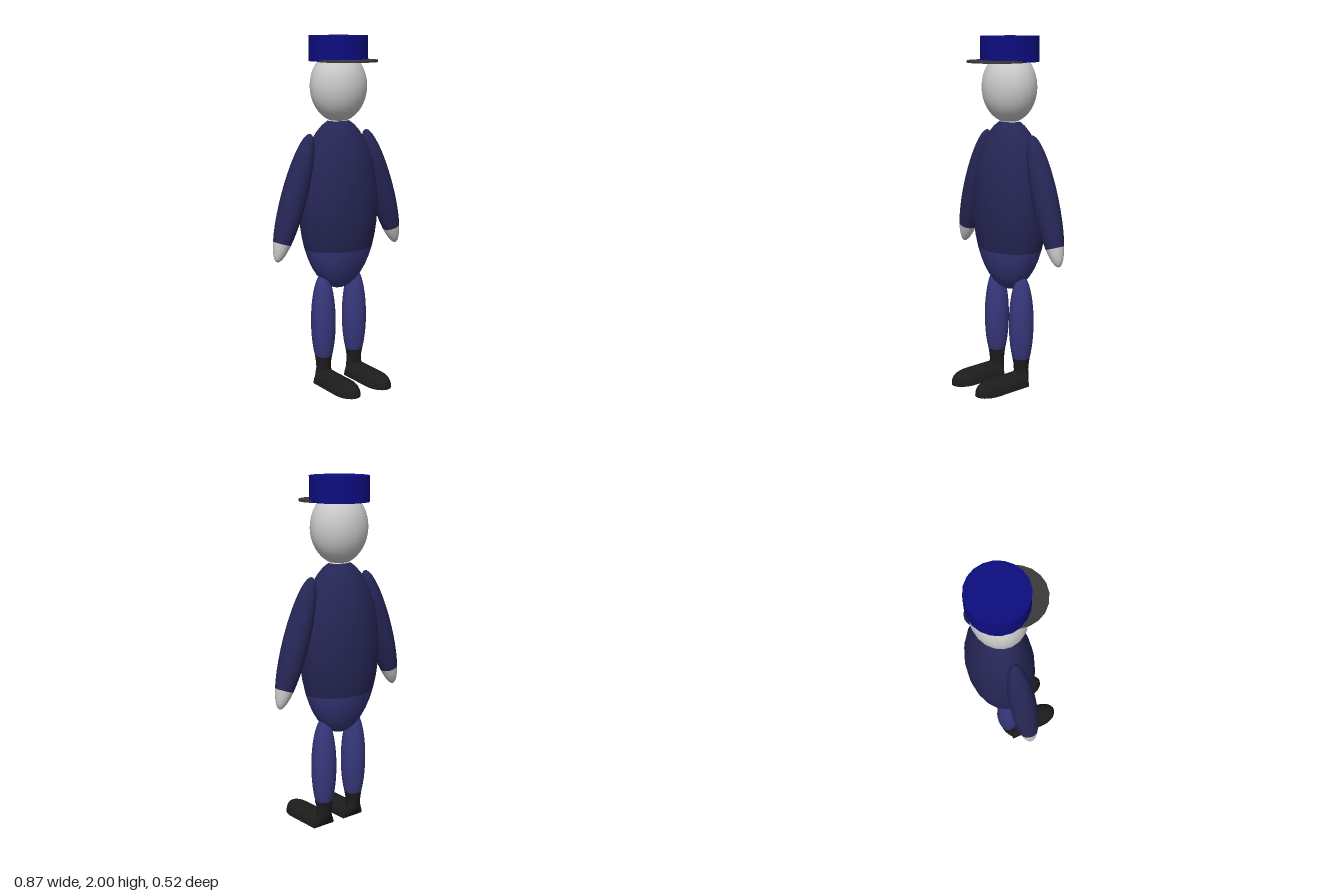
import * as THREE from 'three';
import { toCreasedNormals } from 'three/addons/utils/BufferGeometryUtils.js';

const AXIS_Z = -0.07; // depth of the standing figure's axis
const SEGMENTS = 20;

const mat = (color) => new THREE.MeshStandardMaterial({ color, side: THREE.DoubleSide });
const SKIN = mat(0xcccccc);
const JACKET = mat(0x262656);
const TROUSERS = mat(0x37377c);
const LEATHER = mat(0x1c1c1c);
const CAP = mat(0x0d0d80);
const BRIM = mat(0x3a3a3a);

function part(name, geometry, material, x = 0, y = 0, z = 0) {
  const mesh = new THREE.Mesh(geometry, material);
  mesh.name = name;
  mesh.position.set(x, y, z);
  return mesh;
}

// Band of an ellipsoid between two polar angles (fractions of a half turn, 0 = top)
function ellipsoid(rx, ry, rz, from = 0, to = 1) {
  const rows = Math.max(4, Math.round(20 * (to - from)));
  return new THREE.SphereGeometry(1, SEGMENTS, rows, 0, Math.PI * 2,
    Math.PI * from, Math.PI * (to - from)).scale(rx, ry, rz);
}

// Skin closed rings of equal point count into one surface
function loft(rings) {
  const n = rings[0].length;
  const index = [];
  for (let i = 0; i < rings.length - 1; i++) {
    for (let k = 0; k < n; k++) {
      const a = i * n + k, b = i * n + (k + 1) % n;
      index.push(a, b, b + n, a, b + n, a + n);
    }
  }
  const geometry = new THREE.BufferGeometry();
  geometry.setAttribute('position', new THREE.Float32BufferAttribute(rings.flat(2), 3));
  geometry.setIndex(index);
  return toCreasedNormals(geometry, Math.PI / 4);
}

// Ankle narrowing downward, then flaring into a flat heel edge
function ankleGeometry() {
  // y, half width, back z, front z (z relative to the leg axis)
  const levels = [
    [0.16, 0.051, -0.051, 0.051], [0.12, 0.044, -0.046, 0.044],
    [0.085, 0.043, -0.042, 0.042], [0.06, 0.052, -0.038, 0.04],
    [0.035, 0.062, -0.028, 0.04], [0.015, 0.068, -0.015, 0.04],
    [0, 0.07, 0, 0.04], [0, 0.001, 0.02, 0.021],
  ];
  return loft(levels.map(([y, w, back, front]) =>
    Array.from({ length: SEGMENTS }, (_, k) => {
      const a = (k / SEGMENTS) * Math.PI * 2;
      return [w * Math.cos(a), y, (back + front) / 2 + ((front - back) / 2) * Math.sin(a)];
    })));
}

// Flat-soled shoe: half-round section running forward to a rounded toe
function shoeGeometry() {
  const ring = (z, w, h) => Array.from({ length: 15 }, (_, k) => {
    const a = (k / 14) * Math.PI;
    return [w * Math.cos(a), h * Math.sin(a), z];
  });
  const rings = [ring(0, 0.001, 0.001), ring(0, 0.072, 0.08)];
  for (let i = 0; i <= 8; i++) {
    const t = (i / 8) * Math.PI * 0.497;
    rings.push(ring(0.22 + 0.11 * Math.sin(t), 0.072 * Math.cos(t), 0.08 * Math.cos(t) ** 0.6));
  }
  return loft(rings);
}

function createArm(side) {
  const arm = new THREE.Group();
  arm.name = side > 0 ? 'leftArm' : 'rightArm';
  arm.add(
    part('sleeve', ellipsoid(0.072, 0.368, 0.074, 0, 0.75), JACKET),
    part('hand', ellipsoid(0.072, 0.368, 0.074, 0.75, 1), SKIN),
  );
  arm.position.set(side * 0.304, 1.117, AXIS_Z);
  arm.rotation.z = side * 0.314;
  return arm;
}

function createLeg(side) {
  const leg = new THREE.Group();
  leg.name = side > 0 ? 'leftLeg' : 'rightLeg';
  leg.add(
    part('trouserLeg', ellipsoid(0.072, 0.292, 0.072, 0, 0.75), TROUSERS, 0, 0.366, 0),
    part('ankle', ankleGeometry(), LEATHER),
    part('shoe', shoeGeometry(), LEATHER),
  );
  leg.position.set(side * 0.11, 0, AXIS_Z);
  return leg;
}

export function createModel() {
  const figure = new THREE.Group();
  figure.name = 'figure';

  // Torso: one ellipsoid split into neck, jacket and trouser seat
  const torso = new THREE.Group();
  torso.name = 'torso';
  torso.position.set(0, 1.051, AXIS_Z - 0.003);
  torso.add(
    part('neck', ellipsoid(0.245, 0.496, 0.188, 0, 0.085), SKIN),
    part('jacket', ellipsoid(0.245, 0.496, 0.188, 0.085, 2 / 3), JACKET),
    part('trouserSeat', ellipsoid(0.245, 0.496, 0.188, 2 / 3, 1), TROUSERS),
  );
  figure.add(torso);

  for (const side of [-1, 1]) figure.add(createArm(side), createLeg(side));

  // Head and cap
  figure.add(
    part('head', ellipsoid(0.167, 0.2, 0.149), SKIN, 0, 1.722, AXIS_Z),
    part('cap', new THREE.CylinderGeometry(0.165, 0.165, 0.14, SEGMENTS), CAP, 0, 1.93, -0.072),
    part('capBrim', new THREE.CylinderGeometry(0.166, 0.166, 0.012, SEGMENTS), BRIM, 0, 1.864, 0.02),
  );
  return figure;
}
